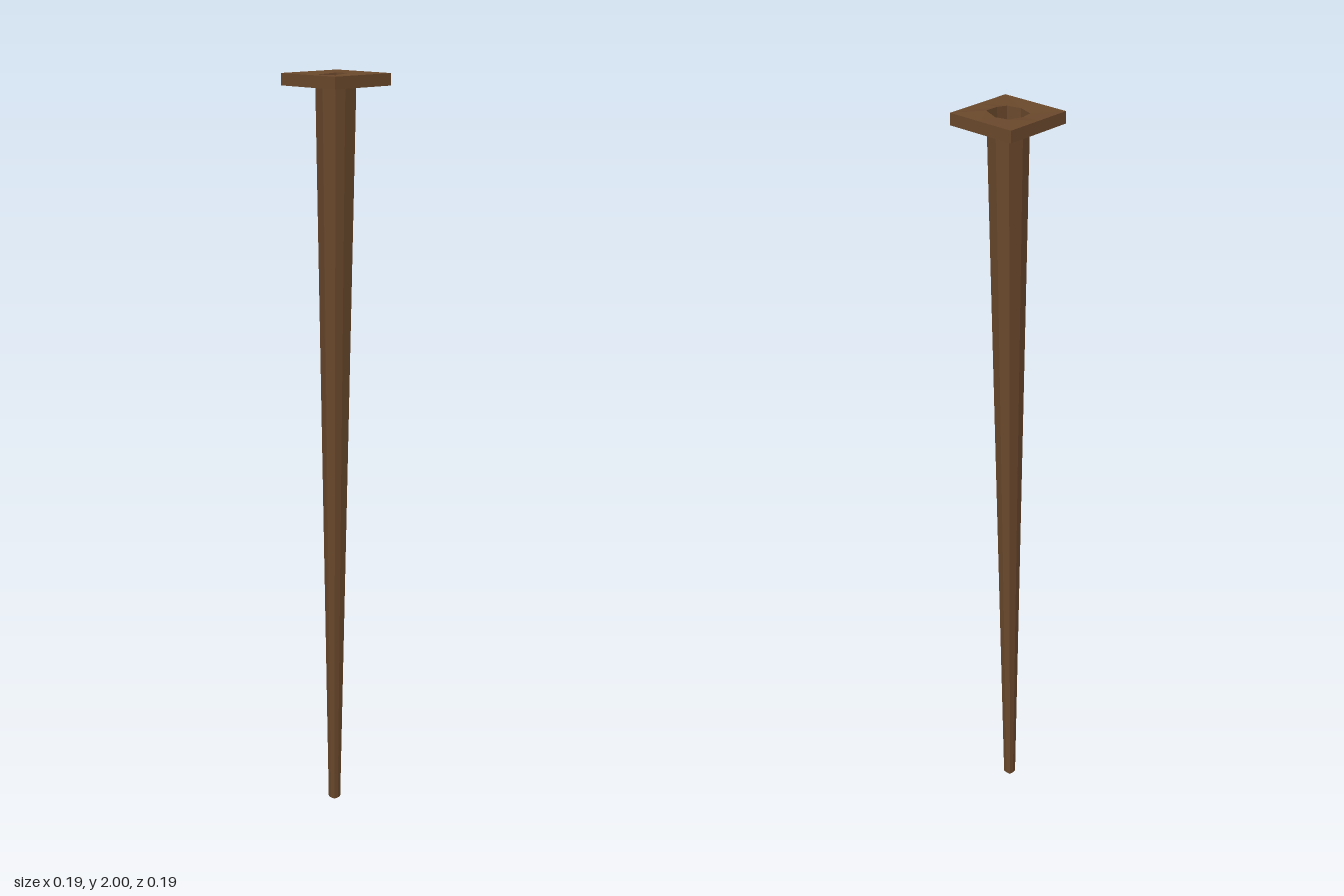
import * as THREE from 'three';

const material = new THREE.MeshStandardMaterial({ color: 0x6b492c, flatShading: true, side: THREE.DoubleSide });

// Skin between two rings of equal point count, both ordered the same way round
function loft(name, a, b) {
  const pos = [];
  a.forEach((p, i) => {
    const j = (i + 1) % a.length;
    pos.push(...p, ...b[i], ...b[j], ...p, ...b[j], ...a[j]);
  });
  const geometry = new THREE.BufferGeometry();
  geometry.setAttribute('position', new THREE.Float32BufferAttribute(pos, 3));
  geometry.computeVertexNormals();
  const mesh = new THREE.Mesh(geometry, material);
  mesh.name = name;
  return mesh;
}

export function createModel() {
  const group = new THREE.Group();
  group.name = 'taperedSpike';

  // Uneven eight-sided mouth of the hollow shaft, clockwise from the back left
  const mouth = [
    [-0.036, 1.994, -0.036], [0, 1.994, -0.044], [0.036, 2, -0.036], [0.042, 1.997, 0.008],
    [0.038, 1.994, 0.038], [0, 1.994, 0.046], [-0.037, 1.992, 0.036], [-0.043, 1.992, 0.005],
  ];
  const corners = [[-1, -1], [0, -1], [1, -1], [1, 0], [1, 1], [0, 1], [-1, 1], [-1, 0]];

  // Small rounded-square foot, slightly off centre
  const foot = corners.map(([x, z]) => {
    const r = x && z ? 0.0115 : 0.0135;
    return [-0.006 + x * r, 0, z * r];
  });
  const footCentre = foot.map(() => [-0.006, 0, 0]);

  // Square head plate, open underneath
  const square = (y) => corners.map(([x, z]) => [x * 0.096, y, z * 0.096]);
  const plateTop = square(1.996);
  const plateBottom = square(1.966);

  group.add(
    loft('shaft', mouth, foot),
    loft('shaftTip', foot, footCentre),
    loft('headTop', plateTop, mouth),
    loft('headRim', plateBottom, plateTop),
  );
  // Drop the zero-area half of the tip fan and fix the facing of every skin
  const tip = group.getObjectByName('shaftTip').geometry;
  tip.setFromPoints(foot.flatMap((p, i) => [p, foot[(i + 1) % 8], footCentre[i]].map((q) => new THREE.Vector3(...q))));
  tip.setDrawRange(0, 24);
  tip.computeVertexNormals();
  return group;
}
